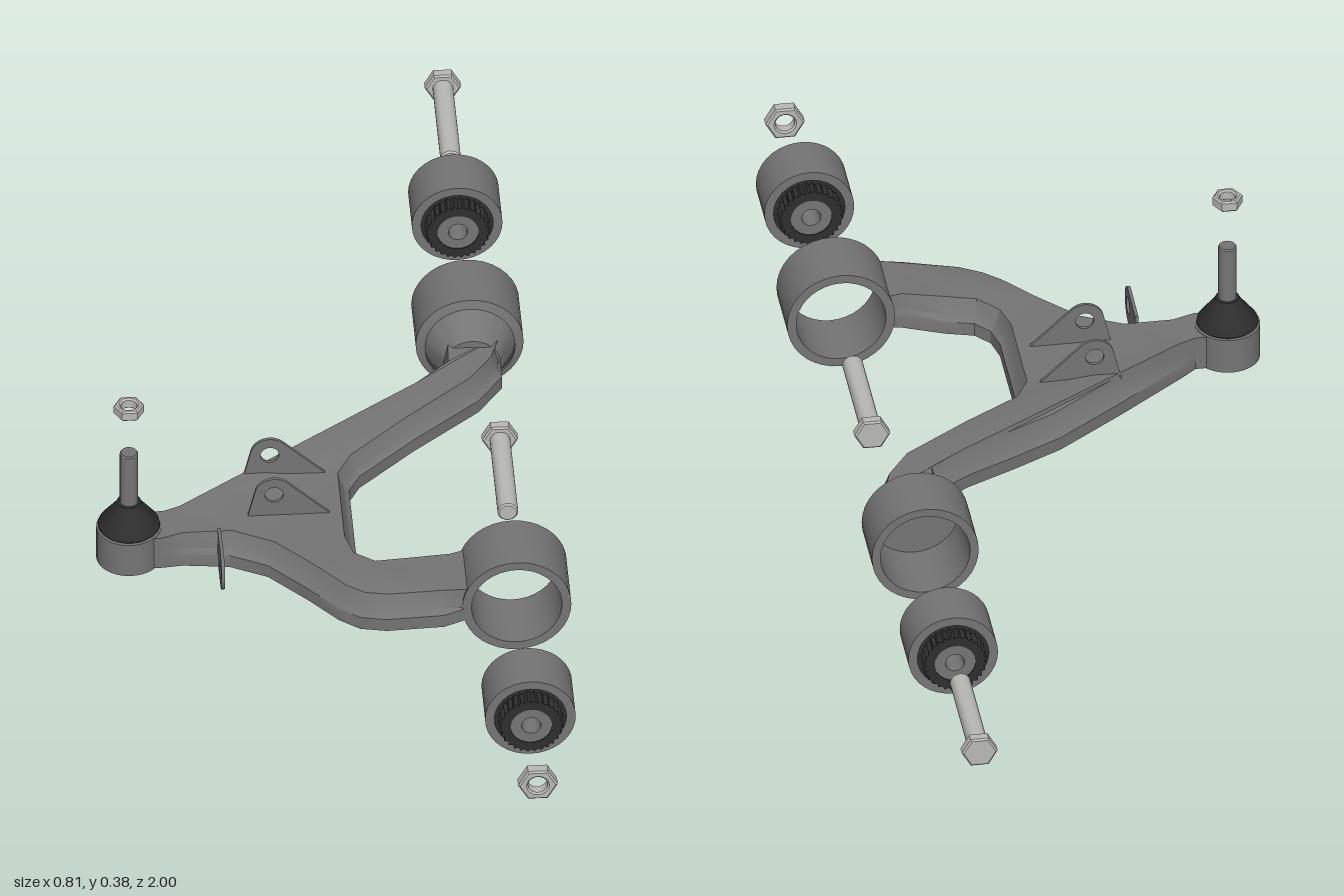
import * as THREE from 'three';
import { toCreasedNormals } from 'three/addons/utils/BufferGeometryUtils.js';

const mat = (name, color) => {
  const m = new THREE.MeshStandardMaterial({ color });
  m.name = name;
  return m;
};

export function createModel() {
  const model = new THREE.Group();
  model.name = 'suspensionArm';
  const steel = mat('greySteel', 0x757575);
  const rubber = mat('darkRubber', 0x2e2e2e);
  const zinc = mat('lightZinc', 0xb9b9b5);
  const AXIS_Y = 0.095;

  const add = (parent, name, geo, material, x = 0, y = 0, z = 0) => {
    const mesh = new THREE.Mesh(geo, material);
    mesh.name = name;
    mesh.position.set(x, y, z);
    parent.add(mesh);
    return mesh;
  };

  // Turned part: profile of [radius, height], along y or z
  const turned = (profile, alongZ = true, sides = 36) => {
    const pts = profile.map(([r, h]) => new THREE.Vector2(r, h));
    const g = new THREE.LatheGeometry(pts, sides);
    if (alongZ) g.rotateX(Math.PI / 2);
    return toCreasedNormals(g, 0.5);
  };
  // Hollow tube section between two heights
  const tube = (ri, ro, a, b) => [[ri, a], [ro, a], [ro, b], [ri, b], [ri, a]];

  // Hexagon with chamfered rims, optionally bored, centred on its z axis
  const hex = (radius, thick, bore = 0) => {
    const s = new THREE.Shape();
    const bevel = 0.003;
    for (let i = 0; i < 6; i++) {
      const a = i * Math.PI / 3, r = radius - bevel;
      s[i ? 'lineTo' : 'moveTo'](r * Math.cos(a), r * Math.sin(a));
    }
    s.closePath();
    if (bore) s.holes.push(new THREE.Path().absarc(0, 0, bore + bevel, 0, Math.PI * 2, true));
    const g = new THREE.ExtrudeGeometry(s, {
      depth: thick - 2 * bevel, bevelSize: bevel, bevelThickness: bevel, bevelSegments: 1, curveSegments: 16,
    });
    return g.translate(0, 0, bevel - thick / 2);
  };

  // Arm outline seen from above: [x, z, inset factor of the raised top]
  const outline = [
    [-0.35, 0.195, 0], [-0.29, 0.195, 0], [-0.267, 0.175, 0.5], [-0.14, 0.075, 1], [-0.02, -0.015, 1],
    [0.07, -0.07, 1], [0.16, -0.13, 1], [0.215, -0.175, 1], [0.235, -0.23, 0], [0.325, -0.23, 0],
    [0.325, -0.165, 1], [0.28, -0.1, 1], [0.16, -0.005, 1], [0.06, 0.075, 1], [0.04, 0.11, 1],
    [0.04, 0.285, 1], [0.05, 0.325, 1], [0.075, 0.348, 1], [0.125, 0.352, 1], [0.2, 0.368, 0.5],
    [0.225, 0.37, 0], [0.225, 0.482, 0], [0.18, 0.497, 1], [0.08, 0.485, 1], [0.035, 0.468, 1],
    [0, 0.44, 1], [-0.05, 0.38, 1], [-0.115, 0.31, 1], [-0.18, 0.277, 1], [-0.26, 0.268, 0.5],
    [-0.3, 0.272, 0], [-0.35, 0.272, 0],
  ];
  const n = outline.length;
  const inset = (d) => outline.map(([x, z, k], i) => {
    const p = outline[(i + n - 1) % n], q = outline[(i + 1) % n];
    const dx = q[0] - p[0], dz = q[1] - p[1], l = Math.hypot(dx, dz);
    return new THREE.Vector2(x - dz / l * d * k, z + dx / l * d * k);
  });
  // Both legs climb toward the bushing seats
  const lift = (x) => 0.024 * THREE.MathUtils.clamp((x - 0.03) / 0.18, 0, 1);
  const armGeometry = () => {
    const rows = [[0, 0.045], [0, 0.07], [0.009, 0.08], [0.02, 0.11]].map(([d, y]) => ({ y, pts: inset(d) }));
    const pos = [];
    const put = (row, i) => {
      const p = row.pts[i % n];
      pos.push(p.x, row.y + lift(p.x), p.y);
    };
    for (let r = 0; r + 1 < rows.length; r++) {
      const a = rows[r], b = rows[r + 1];
      for (let i = 0; i < n; i++) {
        put(a, i); put(b, i + 1); put(a, i + 1);
        put(a, i); put(b, i); put(b, i + 1);
      }
    }
    const bottom = rows[0], top = rows[rows.length - 1];
    for (const [a, b, c] of THREE.ShapeUtils.triangulateShape(bottom.pts, [])) {
      put(bottom, a); put(bottom, b); put(bottom, c);
    }
    for (const [a, b, c] of THREE.ShapeUtils.triangulateShape(top.pts, [])) {
      put(top, a); put(top, c); put(top, b);
    }
    const g = new THREE.BufferGeometry();
    g.setAttribute('position', new THREE.Float32BufferAttribute(pos, 3));
    return toCreasedNormals(g, 0.45);
  };
  add(model, 'forkedArm', armGeometry(), steel);

  // Bushing seats: open ring at the front, cup with tapered neck at the back
  add(model, 'frontSeatRing', turned(tube(0.079, 0.095, -0.06, 0.06)), steel, 0.307, AXIS_Y, 0.425);
  add(model, 'rearSeatCup', turned([
    [0.079, -0.375], [0.094, -0.375], [0.094, -0.26], [0.078, -0.255], [0.05, -0.2],
    [0, -0.2], [0, -0.25], [0.079, -0.25], [0.079, -0.375],
  ]), steel, 0.275, AXIS_Y + 0.002, 0);

  // Thin lug with a rounded, bored tip: base from a to b at height 0
  const lug = (a, b, tipX, tipY, r, bore) => {
    const s = new THREE.Shape();
    const tangent = (x, side) => {
      const dx = x - tipX, dy = -tipY, d = Math.hypot(dx, dy);
      return Math.atan2(dy, dx) + side * Math.acos(r / d);
    };
    s.moveTo(a, 0);
    s.lineTo(b, 0);
    s.absarc(tipX, tipY, r, tangent(b, 1), tangent(a, -1) + Math.PI * 2, false);
    s.closePath();
    s.holes.push(new THREE.Path().absarc(tipX, tipY, bore, 0, Math.PI * 2, true));
    const g = new THREE.ExtrudeGeometry(s, { depth: 0.006, bevelEnabled: false, curveSegments: 20 });
    return g.translate(0, 0, -0.003);
  };
  for (const z of [0.103, 0.216]) {
    add(model, 'topLug', lug(-0.145, 0.005, -0.098, 0.05, 0.034, 0.016), steel, 0, 0.104, z);
  }
  const sideLug = lug(-0.035, 0.03, 0, 0.08, 0.034, 0.016).rotateX(Math.PI / 2).rotateZ(Math.PI / 2);
  add(model, 'sideLug', sideLug, steel, -0.197, 0.09, 0.262);

  // Ball joint
  const joint = new THREE.Group();
  joint.name = 'ballJoint';
  joint.position.set(-0.352, 0, 0.233);
  model.add(joint);
  add(joint, 'jointHousing', turned([[0, 0.044], [0.057, 0.044], [0.057, 0.111], [0, 0.111]], false), steel);
  add(joint, 'jointBoot', turned([
    [0.05, 0.11], [0.054, 0.114], [0.053, 0.12], [0.024, 0.158], [0.021, 0.165], [0, 0.165],
  ], false), rubber);
  add(joint, 'jointStud', turned([[0.016, 0.15], [0.016, 0.27], [0.014, 0.273], [0, 0.273]], false, 24), steel);
  add(joint, 'jointNut', hex(0.026, 0.021, 0.014).rotateX(-Math.PI / 2), zinc, 0, 0.368, 0);

  // Serrated rubber ring
  const serrated = (ro, ri, half) => {
    const s = new THREE.Shape();
    const teeth = 28;
    for (let i = 0; i < teeth * 2; i++) {
      const a = i * Math.PI / teeth, r = i % 2 ? ro : ro - 0.005;
      s[i ? 'lineTo' : 'moveTo'](r * Math.cos(a), r * Math.sin(a));
    }
    s.closePath();
    s.holes.push(new THREE.Path().absarc(0, 0, ri, 0, Math.PI * 2, true));
    const g = new THREE.ExtrudeGeometry(s, { depth: half * 2, bevelEnabled: false, curveSegments: 16 });
    return g.translate(0, 0, -half);
  };
  const bushing = (name, x, z) => {
    const g = new THREE.Group();
    g.name = name;
    g.position.set(x, AXIS_Y + 0.002, z);
    model.add(g);
    add(g, 'bushingShell', turned(tube(0.063, 0.079, -0.048, 0.048)), steel);
    add(g, 'bushingCore', turned(tube(0.03, 0.0635, -0.044, 0.044)), rubber);
    add(g, 'bushingTeeth', serrated(0.056, 0.036, 0.072), rubber);
    add(g, 'bushingSleeve', turned(tube(0.017, 0.0365, -0.07, 0.07)), steel);
  };
  bushing('frontBushing', 0.309, 0.757);
  bushing('rearBushing', 0.276, -0.645);

  // Bolts, heads to the back, and the front nut
  const bolt = (name, x, z, length) => {
    const g = new THREE.Group();
    g.name = name;
    g.position.set(x, AXIS_Y + 0.004, z);
    model.add(g);
    add(g, 'boltHead', hex(0.031, 0.021), zinc, 0, 0, 0.0105);
    add(g, 'boltShank', turned([[0.018, 0.018], [0.018, length - 0.003], [0.015, length], [0, length]], true, 24), zinc);
  };
  bolt('frontBolt', 0.309, 0, 0.226);
  bolt('rearBolt', 0.277, -1, 0.224);
  add(model, 'frontNut', hex(0.034, 0.023, 0.017), zinc, 0.309, AXIS_Y + 0.004, 0.9885);

  return model;
}
